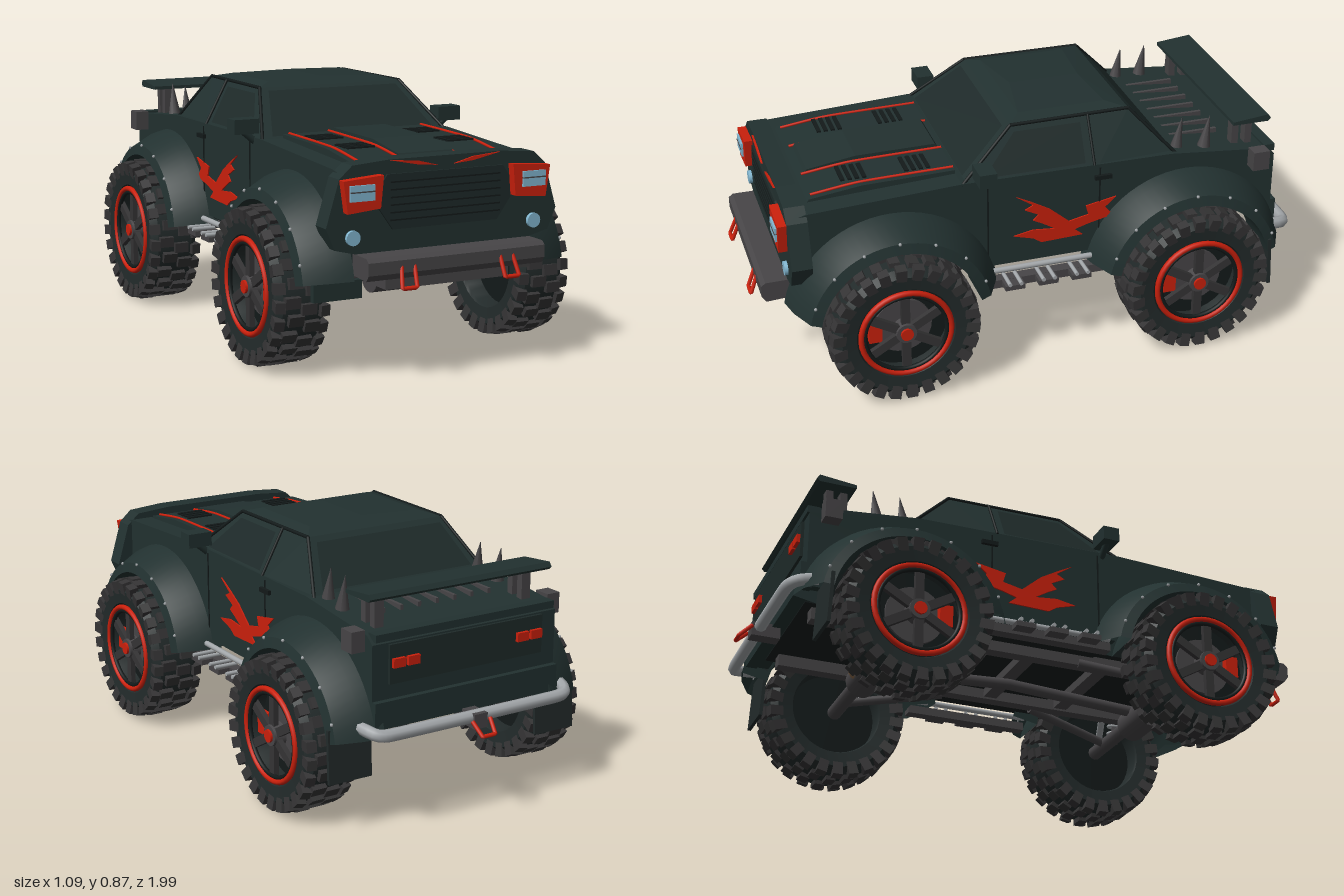
import * as THREE from 'three';
import { toCreasedNormals } from 'three/addons/utils/BufferGeometryUtils.js';
import { ConvexGeometry } from 'three/addons/geometries/ConvexGeometry.js';

const mat = (name, color, side = THREE.FrontSide) => {
  const m = new THREE.MeshStandardMaterial({ color, side });
  m.name = name;
  return m;
};

export function createModel() {
  const root = new THREE.Group();
  root.name = 'offRoadCar';
  const paint = mat('dark green paint', 0x223130, THREE.DoubleSide);
  const glass = mat('dark glass', 0x1e2a29, THREE.DoubleSide);
  const black = mat('black', 0x131a1a);
  const rubber = mat('rubber', 0x222a2a);
  const tread = mat('tread', 0x353435);
  const grey = mat('grey metal', 0x474547);
  const silver = mat('silver', 0xa3a7aa);
  const red = mat('red', 0xcc200c, THREE.DoubleSide);
  const lamp = mat('lamp blue', 0x83b8d2);
  const brown = mat('bronze', 0x8c6a4a);

  const V = (x, y, z) => new THREE.Vector3(x, y, z);
  const add = (name, geo, m, x = 0, y = 0, z = 0, parent = root) => {
    const mesh = new THREE.Mesh(geo, m);
    mesh.name = name;
    mesh.position.set(x, y, z);
    parent.add(mesh);
    return mesh;
  };
  const box = (name, m, w, h, d, x, y, z, parent) => add(name, new THREE.BoxGeometry(w, h, d), m, x, y, z, parent);
  const rod = (name, m, a, b, r, parent) => {
    const d = b.clone().sub(a);
    const mesh = add(name, new THREE.CylinderGeometry(r, r, d.length(), 12), m, 0, 0, 0, parent);
    mesh.position.copy(a).add(b).multiplyScalar(0.5);
    mesh.quaternion.setFromUnitVectors(V(0, 1, 0), d.normalize());
    return mesh;
  };
  const tube = (name, m, pts, r, tension = 0.05, n = 40) =>
    add(name, new THREE.TubeGeometry(new THREE.CatmullRomCurve3(pts, false, 'catmullrom', tension), n, r, 8), m);
  const poly = pts => new THREE.Shape(pts.map(p => new THREE.Vector2(...p)));
  const extrude = (shape, depth) => new THREE.ExtrudeGeometry(shape, { depth, bevelEnabled: false, curveSegments: 24 });
  // Side outline given as (z, y), extruded across x and centred
  const sideways = (shape, width) => extrude(shape, width).rotateY(-Math.PI / 2).translate(width / 2, 0, 0);
  const mirrored = pts => [...pts, ...pts.map(([x, y]) => [-x, y]).reverse()];
  const plate = (name, m, corners) => {
    const g = new THREE.BufferGeometry().setFromPoints(corners);
    g.setIndex([0, 1, 2, 0, 2, 3]);
    g.computeVertexNormals();
    return add(name, g, m);
  };

  // Main body with wheel arch cut-outs
  const AX = 0.525, AY = 0.26;
  const side = poly([[0.84, 0.36], [0.85, 0.66], [0.8, 0.67], [0.28, 0.695], [-0.47, 0.69], [-0.83, 0.655],
    [-0.86, 0.63], [-0.86, 0.42], [-0.84, 0.36]]);
  const a0 = Math.asin(0.1 / 0.29), dz = Math.cos(a0) * 0.29;
  for (const z of [-AX, AX]) {
    side.lineTo(z - dz, 0.36);
    side.absarc(z, AY, 0.29, Math.PI - a0, a0, true);
  }
  add('bodyShell', sideways(side, 0.72), paint);
  box('innerBody', black, 0.5, 0.25, 1.66, 0, 0.48, 0);
  box('floor', black, 0.69, 0.01, 0.46, 0, 0.355, 0);

  // Cabin with a gently crowned roof
  const cabin = [];
  for (const s of [-1, 1]) {
    cabin.push(V(s * 0.355, 0.68, 0.28), V(s * 0.36, 0.68, -0.2), V(s * 0.345, 0.67, -0.5),
      V(s * 0.275, 0.845, 0.085), V(s * 0.27, 0.845, -0.34), V(s * 0.22, 0.86, 0.04), V(s * 0.22, 0.86, -0.27));
  }
  cabin.push(V(0, 0.866, 0), V(0, 0.866, -0.25));
  add('cabin', new ConvexGeometry(cabin), paint);
  plate('windscreen', glass, [V(-0.31, 0.7, 0.264), V(0.31, 0.7, 0.264), V(0.25, 0.835, 0.105), V(-0.25, 0.835, 0.105)]);
  plate('rearWindow', glass, [V(0.3, 0.7, -0.48), V(-0.3, 0.7, -0.48), V(-0.25, 0.83, -0.362), V(0.25, 0.83, -0.362)]);
  for (const s of [-1, 1]) {
    const sx = y => s * (0.362 - (y - 0.68) * 0.515);
    plate('sideWindow', glass, [V(sx(0.7), 0.7, 0.2), V(sx(0.7), 0.7, -0.16), V(sx(0.825), 0.825, -0.16), V(sx(0.825), 0.825, 0.075)]);
    rod('roofRail', black, V(s * 0.275, 0.845, 0.085), V(s * 0.27, 0.845, -0.34), 0.006);
    rod('windscreenPillar', black, V(s * 0.355, 0.685, 0.28), V(s * 0.275, 0.845, 0.085), 0.006);
    rod('rearPillar', black, V(s * 0.345, 0.675, -0.5), V(s * 0.27, 0.845, -0.34), 0.006);
    rod('doorPillar', black, V(s * 0.36, 0.69, -0.19), V(s * 0.277, 0.845, -0.19), 0.005);
    for (const z of [0.19, -0.21]) box('doorSeam', black, 0.004, 0.28, 0.005, s * 0.361, 0.54, z);
    box('doorHandle', black, 0.015, 0.015, 0.06, s * 0.365, 0.645, -0.22);
    // Wing mirror
    box('mirror', paint, 0.09, 0.05, 0.06, s * 0.395, 0.735, 0.21);
    rod('mirrorArm', paint, V(s * 0.34, 0.67, 0.21), V(s * 0.4, 0.72, 0.21), 0.012);
  }

  // Bonnet with raised centre, red seams and vents
  add('bonnet', sideways(poly([[0.8, 0.65], [0.78, 0.68], [0.6, 0.703], [0.28, 0.708], [0.28, 0.65]]), 0.56), paint);
  add('bonnetScoop', sideways(poly([[0.77, 0.66], [0.75, 0.695], [0.58, 0.72], [0.3, 0.722], [0.27, 0.68]]), 0.2), paint);
  for (const s of [-1, 1]) {
    for (const x of [0.106, 0.255]) {
      tube('bonnetSeam', red, [V(s * x, 0.684, 0.77), V(s * x, 0.704, 0.6), V(s * x, 0.709, 0.28)], 0.005, 0.3, 16);
    }
    for (const z of [0.36, 0.58]) for (let i = 0; i < 4; i++) box('bonnetVent', black, 0.1, 0.006, 0.014, s * 0.185, 0.708, z + i * 0.025);
  }

  // Nose, grille and lamps
  add('nose', extrude(poly(mirrored([[0.31, 0.41], [0.39, 0.43], [0.42, 0.5], [0.375, 0.65], [0.33, 0.69], [0.2, 0.7]])), 0.07), paint, 0, 0, 0.805);
  add('grille', extrude(poly(mirrored([[0.19, 0.48], [0.24, 0.55], [0.235, 0.62], [0.21, 0.655]])), 0.008), glass, 0, 0, 0.874);
  for (let i = 0; i < 6; i++) box('grilleBar', black, 0.4, 0.005, 0.006, 0, 0.51 + i * 0.024, 0.882);
  for (const s of [-1, 1]) {
    const frame = [[0.245, 0.555], [0.36, 0.545], [0.375, 0.648], [0.235, 0.658]].map(([x, y]) => [s * x, y]);
    add('headlampFrame', extrude(poly(frame), 0.035), red, 0, 0, 0.87);
    box('headlamp', lamp, 0.085, 0.05, 0.012, s * 0.312, 0.608, 0.906);
    box('headlampDivider', grey, 0.085, 0.004, 0.014, s * 0.312, 0.612, 0.907);
    add('fogLamp', new THREE.CylinderGeometry(0.024, 0.024, 0.03, 20).rotateX(Math.PI / 2), lamp, s * 0.33, 0.465, 0.872);
    const brow = [[0.03, 0.672], [0.1, 0.678], [0.2, 0.698], [0.1, 0.69]].map(([x, y]) => [s * x, y]);
    add('redBrow', extrude(poly(brow), 0.009), red, 0, 0, 0.873);
    tube('frontHook', red, [V(s * 0.2, 0.39, 0.955), V(s * 0.212, 0.315, 0.985), V(s * 0.16, 0.315, 0.985), V(s * 0.155, 0.39, 0.955)], 0.007, 0.02);
  }
  add('frontBumper', sideways(poly([[0.86, 0.345], [0.95, 0.34], [0.965, 0.36], [0.965, 0.4], [0.95, 0.412], [0.86, 0.412]]), 0.64), grey);
  box('skidPlate', grey, 0.45, 0.04, 0.12, 0, 0.315, 0.84);
  box('frontFlap', paint, 0.17, 0.06, 0.02, -0.355, 0.29, 0.82);

  // Rear deck, spoiler, spikes and tail
  for (let i = 0; i < 7; i++) box('deckRib', grey, 0.012, 0.02, 0.18, (i - 3) * 0.07, 0.675, -0.61);
  add('spoiler', sideways(poly([[-0.7, 0.76], [-0.7, 0.772], [-0.83, 0.785], [-0.84, 0.77], [-0.83, 0.76]]), 0.71), paint);
  box('tailPanel', glass, 0.6, 0.13, 0.012, 0, 0.56, -0.864);
  box('tailLip', paint, 0.7, 0.025, 0.04, 0, 0.65, -0.845);
  box('rearValance', paint, 0.72, 0.09, 0.04, 0, 0.4, -0.86);
  for (const s of [-1, 1]) {
    for (const z of [-0.73, -0.78]) box('spoilerPost', grey, 0.035, 0.11, 0.025, s * 0.29, 0.71, z);
    box('spoilerEnd', grey, 0.05, 0.07, 0.06, s * 0.385, 0.635, -0.79);
    for (const [x, z] of [[0.3, -0.52], [0.31, -0.62]]) {
      add('spike', new THREE.ConeGeometry(0.026, 0.13, 8), grey, s * x, 0.73, z).rotation.x = -0.15;
    }
    for (const x of [0.215, 0.27]) box('tailLamp', red, 0.045, 0.03, 0.02, s * x, 0.565, -0.872);
    box('rearFlap', rubber, 0.16, 0.18, 0.012, s * 0.41, 0.27, -0.81).rotation.x = 0.05;
  }
  tube('rearBumperBar', silver, [V(-0.4, 0.37, -0.83), V(-0.385, 0.36, -0.89), V(-0.33, 0.35, -0.92),
    V(0.33, 0.35, -0.92), V(0.385, 0.36, -0.89), V(0.4, 0.37, -0.83)], 0.021, 0.2, 60);
  box('hitch', grey, 0.05, 0.05, 0.1, 0, 0.34, -0.9);
  tube('rearHook', red, [V(-0.035, 0.345, -0.95), V(-0.025, 0.305, -0.992), V(0.025, 0.305, -0.992), V(0.035, 0.345, -0.95)], 0.007, 0.02);

  // Splash graphic on each door
  const splash = poly([[0.09, 0.615], [0.04, 0.59], [-0.03, 0.55], [-0.1, 0.49], [-0.17, 0.505], [-0.16, 0.54], [-0.27, 0.56], [-0.23, 0.525],
    [-0.26, 0.49], [-0.17, 0.47], [-0.12, 0.455], [-0.15, 0.43], [0, 0.425], [0.03, 0.445], [0.1, 0.465], [0.03, 0.478], [-0.05, 0.47],
    [0, 0.5], [0.03, 0.515], [0.01, 0.535], [0.06, 0.56], [0.03, 0.575]]);
  for (const s of [-1, 1]) add('doorSplash', sideways(splash, 0.006), red, s * 0.362, 0, 0);

  // Side steps
  for (const s of [-1, 1]) {
    rod('stepRail', silver, V(s * 0.38, 0.35, 0.22), V(s * 0.38, 0.35, -0.26), 0.01);
    box('stepBar', grey, 0.04, 0.03, 0.46, s * 0.385, 0.31, -0.02);
    for (const z of [-0.12, 0, 0.12]) {
      box('step', grey, 0.07, 0.018, 0.07, s * 0.415, 0.315, z);
      for (const d of [-0.02, 0.02]) rod('stepRung', silver, V(s * 0.37, 0.33, z + d), V(s * 0.455, 0.33, z + d), 0.007);
    }
  }

  // Wheel, built with its outer face towards +x
  const along = g => g.rotateZ(-Math.PI / 2);
  const lathe = (pts, n, start = 0, len = Math.PI * 2) =>
    toCreasedNormals(along(new THREE.LatheGeometry(pts.map(p => new THREE.Vector2(...p)), n, start, len)), 0.6);
  const tyreGeo = lathe([[0.165, -0.08], [0.22, -0.088], [0.243, -0.065], [0.247, 0], [0.243, 0.065], [0.22, 0.088],
    [0.17, 0.082], [0.16, 0.06], [0.16, -0.07], [0.165, -0.08]], 40);
  const blockGeo = new THREE.BoxGeometry(0.052, 0.022, 0.036);
  const shoulderGeo = new THREE.BoxGeometry(0.034, 0.05, 0.036);
  const makeWheel = (s, z) => {
    const w = new THREE.Group();
    w.name = 'wheel';
    w.position.set(s * 0.448, AY, z);
    if (s < 0) w.rotation.y = Math.PI;
    root.add(w);
    add('tyre', tyreGeo, rubber, 0, 0, 0, w);
    const N = 26;
    for (let i = 0; i < N; i++) {
      const spin = new THREE.Group();
      spin.name = 'treadRow';
      spin.rotation.x = (i / N) * Math.PI * 2;
      w.add(spin);
      const k = i % 2 ? 0.008 : -0.008;
      add('treadBlock', blockGeo, tread, -0.028 + k, 0.248, 0, spin);
      add('treadBlock', blockGeo, tread, 0.03 + k, 0.248, 0.025, spin);
      for (const e of [-1, 1]) add('shoulderBlock', shoulderGeo, tread, e * 0.074, 0.23, e * 0.012, spin).rotation.z = e * -0.2;
    }
    add('rimBack', along(new THREE.CylinderGeometry(0.162, 0.162, 0.02, 32)), black, 0.0, 0, 0, w);
    add('brakeDisc', along(new THREE.CylinderGeometry(0.1, 0.1, 0.012, 28)), grey, 0.025, 0, 0, w);
    box('brakeCaliper', red, 0.025, 0.075, 0.045, 0.045, 0.005, s * 0.1, w);
    add('rimRing', new THREE.TorusGeometry(0.155, 0.01, 8, 40).rotateY(Math.PI / 2), red, 0.08, 0, 0, w);
    add('rimLip', new THREE.TorusGeometry(0.141, 0.008, 8, 40).rotateY(Math.PI / 2), black, 0.076, 0, 0, w);
    for (let i = 0; i < 6; i++) {
      const a = (i / 6) * Math.PI * 2;
      const spoke = box('spoke', tread, 0.018, 0.12, 0.03, 0.068, Math.cos(a) * 0.085, Math.sin(a) * 0.085, w);
      spoke.rotation.x = a;
    }
    add('hub', along(new THREE.CylinderGeometry(0.035, 0.042, 0.04, 16)), grey, 0.065, 0, 0, w);
    add('hubCap', along(new THREE.CylinderGeometry(0.022, 0.022, 0.01, 12)), red, 0.088, 0, 0, w);
  };

  // Flared fender, symmetrical front to back
  const fenderGeo = lathe([[0.375, 0.33], [0.357, 0.4], [0.315, 0.478], [0.28, 0.488], [0.278, 0.33], [0.375, 0.33]],
    28, Math.PI + 0.19, Math.PI - 0.38);
  const boltGeo = new THREE.SphereGeometry(0.006, 6, 4);

  for (const z of [AX, -AX]) {
    const inward = -Math.sign(z);
    rod('axle', grey, V(-0.4, AY, z), V(0.4, AY, z), 0.026);
    add('differential', along(new THREE.CylinderGeometry(0.057, 0.057, 0.16, 20)), grey, 0, 0.25, z);
    add('differentialCover', new THREE.SphereGeometry(0.042, 16, 10), brown, 0, 0.262, z - inward * 0.03);
    rod('driveShaft', grey, V(0, 0.27, z), V(0, 0.3, 0), 0.02);
    for (const s of [-1, 1]) {
      makeWheel(s, z);
      add('fender', fenderGeo, paint, 0, AY, z).rotation.y = s < 0 ? Math.PI : 0;
      for (let i = 1; i < 8; i++) {
        const a = (i / 8) * Math.PI;
        add('fenderBolt', boltGeo, silver, s * 0.48, AY + Math.sin(a) * 0.315, z + Math.cos(a) * 0.315);
      }
      // Suspension
      rod('controlArm', silver, V(s * 0.2, 0.33, z + inward * 0.06), V(s * 0.37, 0.28, z), 0.013);
      rod('trailingArm', grey, V(s * 0.3, 0.26, z), V(s * 0.22, 0.32, z + inward * 0.35), 0.016);
      rod('damper', grey, V(s * 0.33, 0.28, z + 0.05), V(s * 0.29, 0.48, z + 0.05), 0.014);
      const coil = [];
      for (let i = 0; i <= 60; i++) {
        const t = i / 60, a = t * Math.PI * 12;
        coil.push(V(s * (0.328 - 0.035 * t) + Math.cos(a) * 0.026, 0.3 + t * 0.16, z + 0.05 + Math.sin(a) * 0.026));
      }
      tube('spring', silver, coil, 0.006, 0.5, 120);
    }
  }

  // Chassis rails and exhaust silencer
  for (const s of [-1, 1]) box('chassisRail', grey, 0.045, 0.045, 1.6, s * 0.2, 0.335, 0);
  for (const z of [-0.28, 0, 0.28]) box('crossMember', grey, 0.4, 0.03, 0.05, 0, 0.335, z);
  return root;
}
